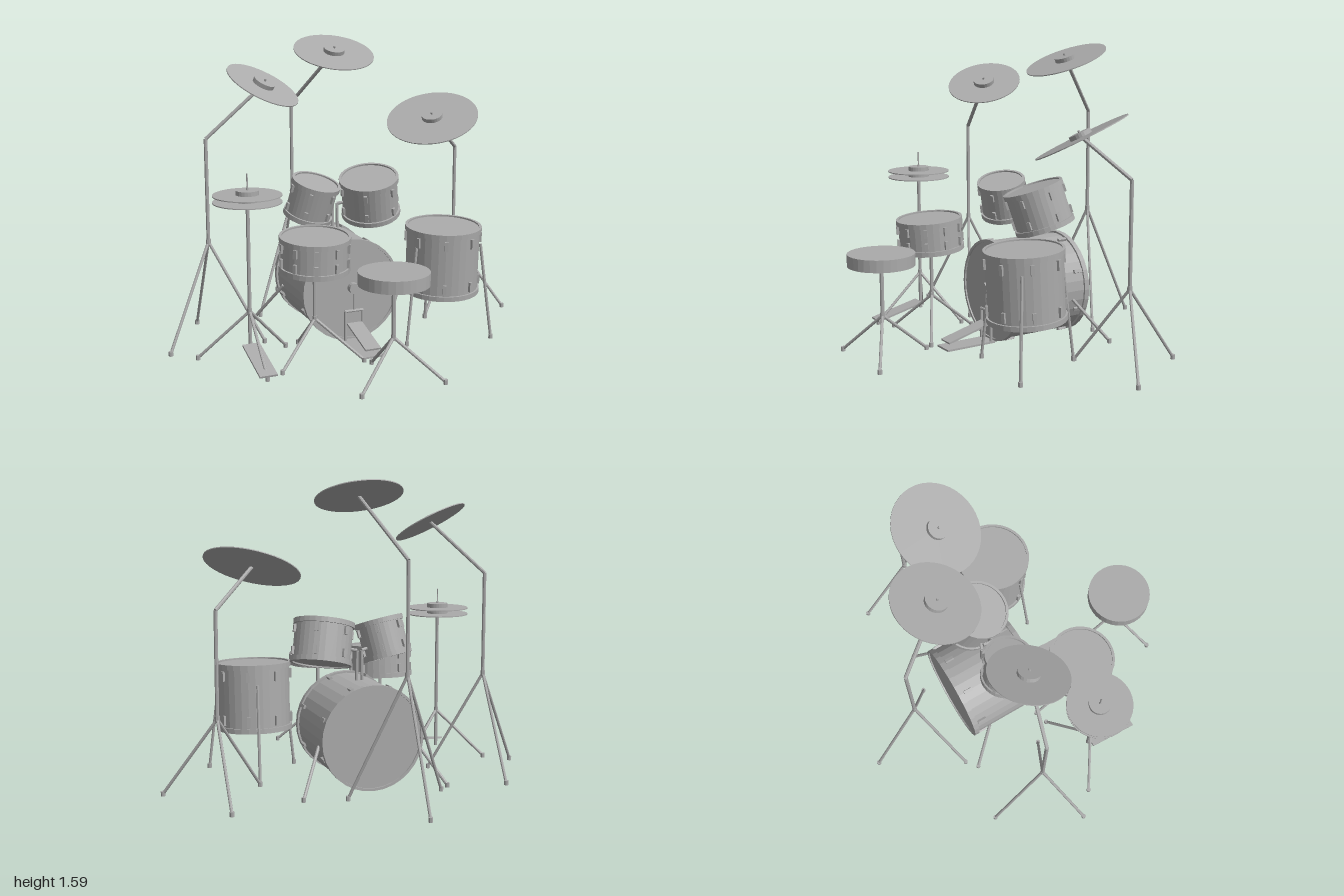
import * as THREE from 'three';

const UP = new THREE.Vector3(0, 1, 0);
const V = (x, y, z) => new THREE.Vector3(x, y, z);

export function createModel() {
  const grey = new THREE.MeshStandardMaterial({ color: 0xaaaaaa });
  grey.name = 'plain grey';
  const kit = new THREE.Group();
  kit.name = 'drumKit';

  // faceted mesh
  function add(parent, name, geometry, x = 0, y = 0, z = 0) {
    const g = geometry.index ? geometry.toNonIndexed() : geometry;
    g.computeVertexNormals();
    const mesh = new THREE.Mesh(g, grey);
    mesh.name = name;
    mesh.position.set(x, y, z);
    parent.add(mesh);
    return mesh;
  }

  function group(name, parent = kit) {
    const g = new THREE.Group();
    g.name = name;
    parent.add(g);
    return g;
  }

  // round bar between two points
  function rod(parent, name, a, b, r = 0.01) {
    const d = b.clone().sub(a);
    const mesh = add(parent, name, new THREE.CylinderGeometry(r, r, d.length(), 8));
    mesh.position.copy(a).addScaledVector(d, 0.5);
    mesh.quaternion.setFromUnitVectors(UP, d.normalize());
    return mesh;
  }

  // rubber foot at the end of a leg
  function foot(parent, x, z) {
    add(parent, 'foot', new THREE.CylinderGeometry(0.012, 0.012, 0.024, 8), x, 0.012, z);
  }

  // three splayed legs; dir is +1 when the single leg points forward
  function tripod(parent, x, z, hubY, spread, dir) {
    for (let i = 0; i < 3; i++) {
      const a = i * Math.PI * 2 / 3;
      const fx = x + Math.sin(a) * spread, fz = z + Math.cos(a) * spread * dir;
      rod(parent, 'leg', V(x, hubY, z), V(fx, 0.012, fz), 0.008);
      foot(parent, fx, fz);
    }
    add(parent, 'hub', new THREE.CylinderGeometry(0.013, 0.013, 0.03, 8), x, hubY, z);
  }

  // drum along y: shell with heads, two hoops, rows of lugs
  function drum(name, r, h, lugs, lugOffset, lugLength, hoopH = 0.026) {
    const g = group(name);
    const shellR = r - 0.01, half = h / 2;
    add(g, 'shell', new THREE.CylinderGeometry(shellR, shellR, h - 0.016, 32));
    const profile = [[r - 0.014, 0], [r, 0], [r, hoopH], [r - 0.014, hoopH], [r - 0.014, 0]]
      .map(p => new THREE.Vector2(p[0], p[1]));
    for (const y of [-half, half - hoopH])
      add(g, 'hoop', new THREE.LatheGeometry(profile, 32), 0, y, 0);
    for (let i = 0; i < lugs; i++) {
      const a = (i + 0.5) / lugs * Math.PI * 2;
      for (const s of [-1, 1]) {
        const lug = add(g, 'lug', new THREE.BoxGeometry(0.018, lugLength, 0.024),
          Math.sin(a) * shellR, s * lugOffset, Math.cos(a) * shellR);
        lug.rotation.y = a;
      }
    }
    return g;
  }

  // cymbal disc with bell and top nut
  function cymbal(parent, name, pos, r, normal) {
    const g = group(name, parent);
    add(g, 'disc', new THREE.CylinderGeometry(r, r, 0.005, 40));
    add(g, 'bell', new THREE.CylinderGeometry(0.058, 0.058, 0.024, 24), 0, 0.013, 0);
    add(g, 'nut', new THREE.CylinderGeometry(0.006, 0.006, 0.012, 8), 0, 0.03, 0);
    g.position.copy(pos);
    g.quaternion.setFromUnitVectors(UP, normal.normalize());
  }

  // bass drum lying along z, with spurs
  const bass = drum('bassDrum', 0.276, 0.46, 8, 0.17, 0.05, 0.028);
  bass.rotation.x = Math.PI / 2;
  bass.position.set(-0.04, 0.278, -0.122);
  const spurs = group('bassDrumSpurs');
  for (const s of [-1, 1]) {
    rod(spurs, 'spur', V(-0.04 + s * 0.262, 0.235, -0.25), V(-0.04 + s * 0.39, 0.012, -0.405), 0.009);
    foot(spurs, -0.04 + s * 0.39, -0.405);
  }

  // rack toms leaning inward and toward the player
  const tom1 = drum('smallTom', 0.132, 0.207, 6, 0.052, 0.04);
  tom1.position.set(-0.195, 0.748, -0.077);
  tom1.rotation.set(0.26, 0, -0.18);
  const tom2 = drum('largeTom', 0.162, 0.225, 6, 0.058, 0.042);
  tom2.position.set(0.145, 0.742, -0.083);
  tom2.rotation.set(0.26, 0, 0.18);
  const mount = group('tomMount');
  for (const s of [-1, 1]) {
    rod(mount, 'mountPost', V(-0.04 + s * 0.016, 0.53, -0.135), V(-0.04 + s * 0.012, 0.7, -0.135), 0.009);
    rod(mount, 'mountArm', V(-0.04 + s * 0.012, 0.7, -0.135), V(-0.04 + s * 0.07, 0.71, -0.11), 0.009);
  }

  // floor tom with three legs
  const floorTom = drum('floorTom', 0.204, 0.362, 8, 0.118, 0.052);
  floorTom.position.set(0.444, 0.432, 0.203);
  floorTom.rotation.x = 0.055;
  const floorLegs = group('floorTomLegs');
  for (let i = 0; i < 3; i++) {
    const a = 0.9 + i * Math.PI * 2 / 3;
    const at = (r, y) => V(0.444 + Math.sin(a) * r, y, 0.203 + Math.cos(a) * r);
    const end = at(0.272, 0.012);
    rod(floorLegs, 'leg', at(0.205, 0.52), end, 0.008);
    foot(floorLegs, end.x, end.z);
  }

  // snare drum on its stand
  const snare = drum('snareDrum', 0.18, 0.178, 10, 0.038, 0.046);
  snare.position.set(-0.328, 0.565, 0.31);
  snare.rotation.x = 0.075;
  const snareStand = group('snareStand');
  rod(snareStand, 'pole', V(-0.328, 0.22, 0.305), V(-0.328, 0.49, 0.305));
  tripod(snareStand, -0.328, 0.305, 0.22, 0.252, -1);

  // throne
  const throne = group('throne');
  add(throne, 'seat', new THREE.CylinderGeometry(0.173, 0.173, 0.063, 32), -0.087, 0.52, 0.724);
  rod(throne, 'pole', V(-0.087, 0.22, 0.724), V(-0.087, 0.49, 0.724), 0.011);
  tripod(throne, -0.087, 0.724, 0.225, 0.252, -1);

  // boom cymbal stands: hub, bend height, cymbal position, radius and facing
  const stands = [
    ['leftCrash', -0.738, -0.178, 0.545, 1.09, V(-0.446, 1.362, -0.112), 0.202, V(0.34, 0.87, 0.36)],
    ['ride', 0.738, -0.217, 0.41, 0.952, V(0.517, 1.147, -0.077), 0.252, V(-0.305, 0.89, 0.33)],
    ['centreCrash', -0.118, -0.602, 0.645, 1.203, V(0.036, 1.502, -0.33), 0.222, V(0, 0.93, 0.365)],
  ];
  for (const [name, x, z, hubY, bendY, pos, r, normal] of stands) {
    const g = group(name + 'Stand');
    rod(g, 'pole', V(x, hubY, z), V(x, bendY, z));
    rod(g, 'boom', V(x, bendY, z), pos);
    tripod(g, x, z, hubY, 0.292, -1);
    cymbal(g, name + 'Cymbal', pos, r, normal);
  }

  // hi-hat with paired cymbals
  const hat = group('hiHat');
  rod(hat, 'pole', V(-0.64, 0.06, 0.21), V(-0.64, 0.83, 0.21));
  rod(hat, 'pullRod', V(-0.64, 0.8, 0.21), V(-0.64, 0.97, 0.21), 0.004);
  tripod(hat, -0.64, 0.21, 0.27, 0.272, 1);
  cymbal(hat, 'lowerCymbal', V(-0.64, 0.829, 0.21), 0.172, V(0, 1, 0));
  cymbal(hat, 'upperCymbal', V(-0.64, 0.863, 0.21), 0.172, V(0, 1, 0));

  // sloping foot plate from the heel up to the toe
  function footBoard(parent, x, w, heelZ, heelY, toeZ, toeY) {
    const dz = heelZ - toeZ, dy = toeY - heelY;
    const b = add(parent, 'footBoard', new THREE.BoxGeometry(w, 0.01, Math.hypot(dz, dy)),
      x, (heelY + toeY) / 2, (heelZ + toeZ) / 2);
    b.rotation.x = Math.atan2(dy, dz);
  }
  footBoard(hat, -0.64, 0.09, 0.5, 0.03, 0.22, 0.098);

  // bass drum pedal with frame and beater
  const pedal = group('bassPedal');
  add(pedal, 'basePlate', new THREE.BoxGeometry(0.114, 0.01, 0.29), -0.04, 0.006, 0.257);
  footBoard(pedal, -0.04, 0.086, 0.385, 0.04, 0.14, 0.105);
  for (const s of [-1, 1])
    rod(pedal, 'framePost', V(-0.04 + s * 0.048, 0.006, 0.132), V(-0.04 + s * 0.048, 0.175, 0.132), 0.008);
  rod(pedal, 'axle', V(-0.092, 0.172, 0.132), V(0.012, 0.172, 0.132), 0.008);
  rod(pedal, 'beaterRod', V(-0.04, 0.172, 0.132), V(-0.04, 0.29, 0.132), 0.005);
  const beater = add(pedal, 'beater', new THREE.CylinderGeometry(0.029, 0.029, 0.035, 16), -0.04, 0.295, 0.13);
  beater.rotation.x = Math.PI / 2;

  return kit;
}
